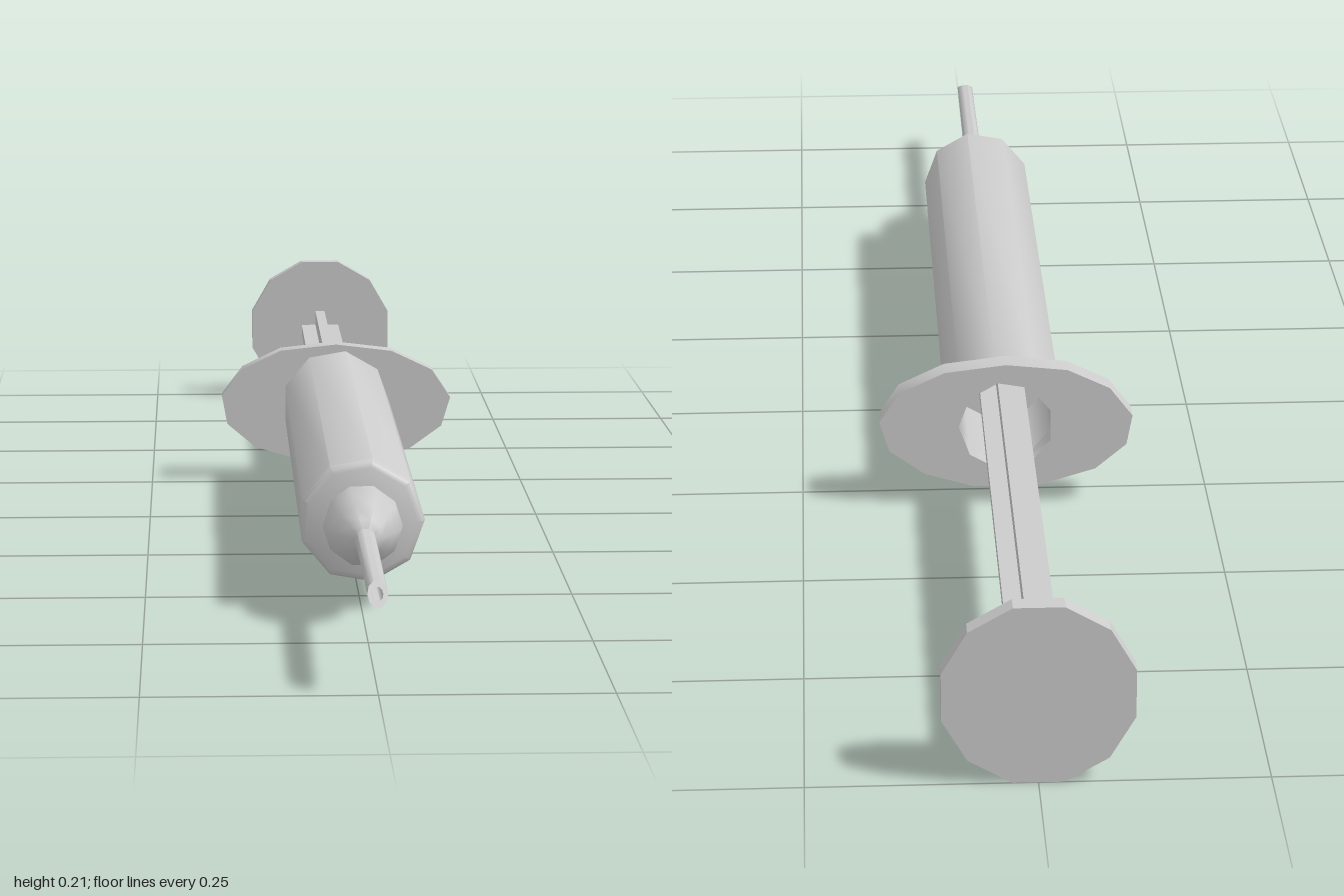
import * as THREE from 'three';
import { toCreasedNormals } from 'three/addons/utils/BufferGeometryUtils.js';

const CY = 0.104; // height of the long axis

export function createModel() {
  const group = new THREE.Group();
  const material = new THREE.MeshStandardMaterial({ color: 0xcccccc, side: THREE.DoubleSide });

  const add = (name, geometry, crease = 0.75) => {
    const mesh = new THREE.Mesh(toCreasedNormals(geometry, crease), material);
    mesh.name = name;
    mesh.position.y = CY;
    group.add(mesh);
    return mesh;
  };

  // Turned part along z from [radius, z] pairs
  const turned = (profile, sides, start = Math.PI / 2) =>
    new THREE.LatheGeometry(profile.map(([r, z]) => new THREE.Vector2(r, z)), sides, start)
      .rotateX(Math.PI / 2);

  // Hollow barrel, open at the back, with a softened front rim
  add('barrel', turned([
    [0.058, -0.29], [0.073, -0.29], [0.073, 0.57], [0.07, 0.578], [0.064, 0.581],
    [0, 0.581], [0, 0.56], [0.058, 0.56], [0.058, -0.29],
  ], 9));

  // Finger flange: an uneven thirteen-sided oval with a round hole
  const oval = [
    [-0.155, 0.011], [-0.148, -0.027], [-0.11, -0.059], [-0.04, -0.08], [0.04, -0.08],
    [0.1, -0.062], [0.143, -0.031], [0.155, 0.008], [0.13, 0.046], [0.075, 0.072],
    [0, 0.081], [-0.075, 0.073], [-0.127, 0.048],
  ];
  const flange = new THREE.Shape(oval.map(([x, y]) => new THREE.Vector2(x, y)));
  const hole = [];
  for (let i = 0; i < 9; i++) {
    const a = -i * Math.PI * 2 / 9;
    hole.push(new THREE.Vector2(0.058 * Math.cos(a), 0.058 * Math.sin(a)));
  }
  flange.holes.push(new THREE.Path(hole));
  add('fingerFlange', new THREE.ExtrudeGeometry(flange, { depth: 0.029, bevelEnabled: false })
    .translate(0, 0, -0.294));

  // Rounded hub that holds the needle
  add('needleHub', turned([
    [0, 0.575], [0.043, 0.575], [0.046, 0.605], [0.043, 0.628], [0.034, 0.652],
    [0.021, 0.672], [0.012, 0.682], [0, 0.684],
  ], 10));

  // Hollow needle with a slanted tip, longest on its underside
  const needle = turned([
    [0.006, 0.67], [0.012, 0.67], [0.011, 0.98], [0.006, 0.98], [0.006, 0.67],
  ], 10);
  const p = needle.attributes.position;
  for (let i = 0; i < p.count; i++) {
    if (p.getZ(i) > 0.9) p.setZ(i, 0.98 - p.getY(i) * 1.8);
  }
  add('needle', needle);

  // Plunger rod with a cross-shaped section
  const w = 0.028, t = 0.007;
  const cross = new THREE.Shape([
    [w, -t], [w, t], [t, t], [t, w], [-t, w], [-t, t],
    [-w, t], [-w, -t], [-t, -t], [-t, -w], [t, -w], [t, -t],
  ].map(([x, y]) => new THREE.Vector2(x, y)));
  add('plungerRod', new THREE.ExtrudeGeometry(cross, { depth: 0.85, bevelEnabled: false })
    .translate(0, 0, -0.98));

  // Stopper inside the barrel
  add('plungerStopper', turned([
    [0, -0.15], [0.056, -0.15], [0.056, -0.09], [0, -0.07],
  ], 9));

  // Thumb disc at the back
  add('thumbDisc', turned([
    [0, -1], [0.1075, -1], [0.1075, -0.978], [0, -0.978],
  ], 12, Math.PI / 12), 0.4);

  return group;
}
